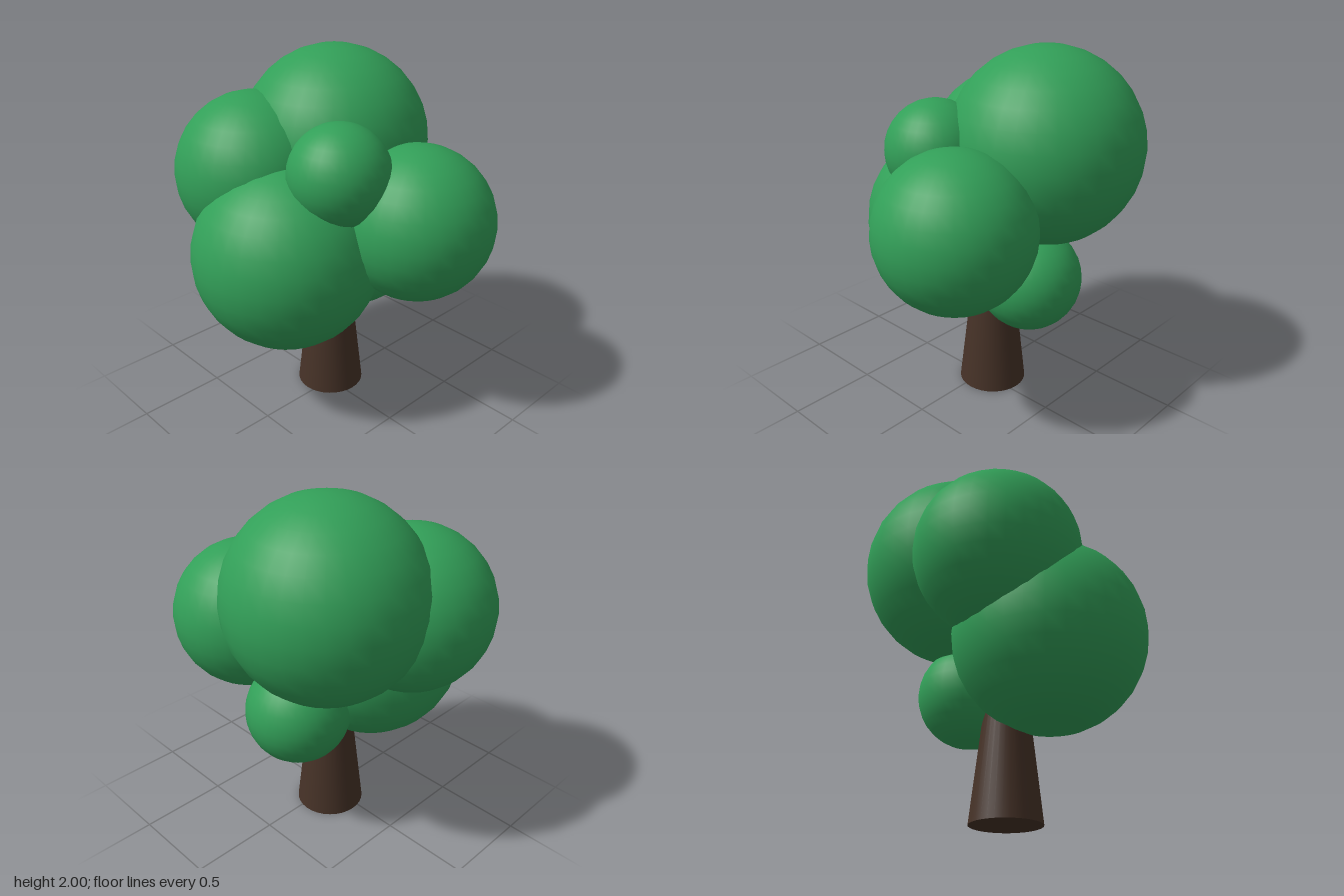
import * as THREE from 'three';

export function createModel() {
  const tree = new THREE.Group();
  tree.name = 'tree';

  const leafGreen = new THREE.MeshStandardMaterial({ color: 0x329f58 });
  leafGreen.name = 'leafGreen';
  const barkBrown = new THREE.MeshStandardMaterial({ color: 0x463227 });
  barkBrown.name = 'barkBrown';

  // Tapered trunk, its top hidden inside the foliage
  const trunkHeight = 0.88;
  const trunk = new THREE.Mesh(new THREE.CylinderGeometry(0.095, 0.195, trunkHeight, 32), barkBrown);
  trunk.name = 'trunk';
  trunk.position.set(-0.045, trunkHeight / 2, -0.045);
  tree.add(trunk);

  // Overlapping balls of foliage: name, radius, centre
  const foliage = [
    ['crownFoliage', 0.54, [-0.23, 1.46, -0.25]],
    ['frontFoliage', 0.525, [-0.065, 0.953, 0.265]],
    ['rightFoliage', 0.45, [-0.412, 1.33, 0.19]],
    ['leftFoliage', 0.425, [0.435, 1.155, -0.225]],
    ['smallUpperFoliage', 0.275, [0.213, 1.455, 0.137]],
    ['smallBackFoliage', 0.292, [-0.058, 0.75, -0.303]],
  ];
  for (const [name, radius, centre] of foliage) {
    const ball = new THREE.Mesh(new THREE.SphereGeometry(radius, 32, 16), leafGreen);
    ball.name = name;
    ball.position.set(...centre);
    tree.add(ball);
  }
  return tree;
}
